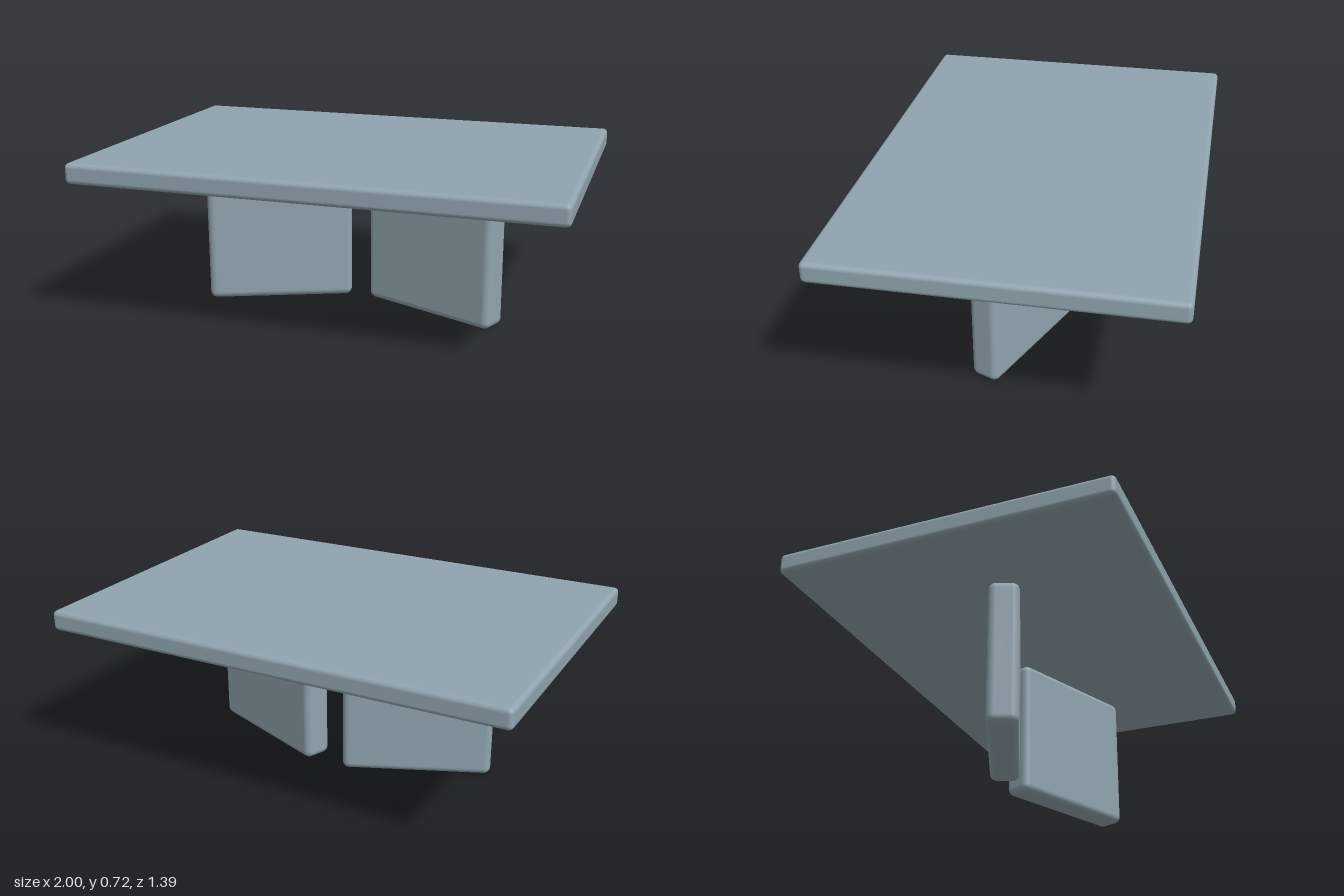
import * as THREE from 'three';
import { RoundedBoxGeometry } from 'three/addons/geometries/RoundedBoxGeometry.js';

export function createModel() {
  const model = new THREE.Group();
  model.name = 'table';
  const blueGrey = new THREE.MeshStandardMaterial({ color: 0x90a4ae });
  blueGrey.name = 'blueGrey';

  const addSlab = (name, w, h, d, radius, x, y, turn = 0) => {
    const slab = new THREE.Mesh(new RoundedBoxGeometry(w, h, d, 5, radius), blueGrey);
    slab.name = name;
    slab.position.set(x, y, 0);
    slab.rotation.y = turn;
    model.add(slab);
  };

  // Thin top, floating just above the legs
  addSlab('tableTop', 2, 0.086, 1.39, 0.02, 0, 0.673);

  // Two slab legs, angled so their outer ends come forward
  for (const side of [-1, 1]) {
    addSlab(side > 0 ? 'leftLeg' : 'rightLeg', 0.64, 0.608, 0.125, 0.03,
      side * 0.357, 0.304, -side * Math.PI / 8);
  }
  return model;
}
